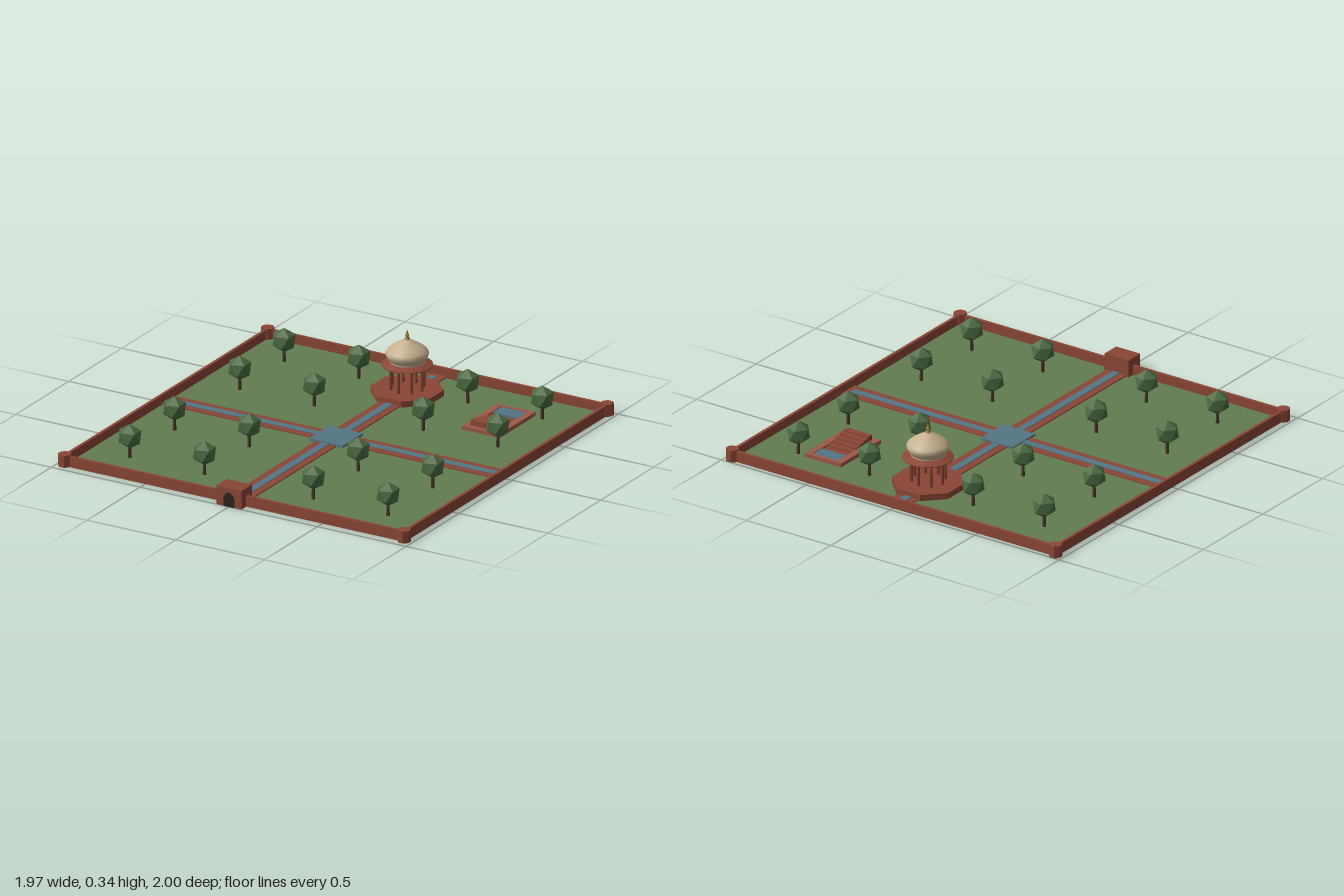
import * as THREE from 'three';

const mat = (color, extra = {}) => new THREE.MeshStandardMaterial({ color, ...extra });
const BRICK = mat(0x8a4636), STEP = mat(0x9a5848), WATER = mat(0x537684), STONE = mat(0xc4b08e),
  GRASS = mat(0x627c50, { side: THREE.DoubleSide }), LEAF = mat(0x4c6b42, { flatShading: true }),
  BARK = mat(0x4a3528), DARK = mat(0x2e2420), GOLD = mat(0x9a8040), BRICK_FLAT = mat(0x8a4636, { flatShading: true }),
  EAVE = mat(0x8a4636, { flatShading: true, side: THREE.DoubleSide });

const HALF = 0.957;    // wall line, half width
const CZ = -0.012;     // garden centre along z

function add(parent, name, geometry, material, x = 0, y = 0, z = 0) {
  const m = new THREE.Mesh(geometry, material);
  m.name = name;
  m.position.set(x, y, z);
  parent.add(m);
  return m;
}

// Box given by its bounds
function block(parent, name, material, x0, x1, y0, y1, z0, z1) {
  return add(parent, name, new THREE.BoxGeometry(x1 - x0, y1 - y0, z1 - z0), material,
    (x0 + x1) / 2, (y0 + y1) / 2, (z0 + z1) / 2);
}

const lathe = (pts, n) => new THREE.LatheGeometry(pts.map(p => new THREE.Vector2(...p)), n);

function createGround() {
  // gently rolling lawn
  const g = new THREE.PlaneGeometry(2 * HALF, 2 * HALF, 32, 32).rotateX(-Math.PI / 2);
  const p = g.attributes.position;
  for (let i = 0; i < p.count; i++)
    p.setY(i, 0.007 + 0.002 * Math.sin(4 * p.getX(i) + 1) * Math.cos(4 * p.getZ(i)));
  g.computeVertexNormals();
  const m = new THREE.Mesh(g, GRASS);
  m.name = 'lawn';
  m.position.z = CZ;
  return m;
}

function createWalls() {
  const g = new THREE.Group();
  g.name = 'walls';
  const t = 0.008, h = 0.055;
  for (const s of [-1, 1]) {
    block(g, 'sideWall', BRICK, s * HALF - t, s * HALF + t, 0, h, CZ - HALF, CZ + HALF);
    block(g, 'crossWall', BRICK, -HALF, HALF, 0, h, CZ + s * HALF - t, CZ + s * HALF + t);
    for (const k of [-1, 1])
      add(g, 'cornerTower', new THREE.CylinderGeometry(0.033, 0.033, 0.062, 8).rotateY(Math.PI / 8),
        BRICK_FLAT, s * HALF, 0.031, CZ + k * HALF);
  }
  return g;
}

function createPaths() {
  const g = new THREE.Group();
  g.name = 'paths';
  const w = 0.058, c = 0.02, L = HALF - 0.008;
  block(g, 'longPath', BRICK, -w, w, 0.0095, 0.015, CZ - L, CZ + L);
  block(g, 'crossPath', BRICK, -L, L, 0.0095, 0.0148, CZ - w, CZ + w);
  block(g, 'longChannel', WATER, -c, c, 0.01, 0.018, CZ - 0.92, CZ + 0.92);
  block(g, 'crossChannel', WATER, -0.92, 0.92, 0.01, 0.0178, CZ - c, CZ + c);
  block(g, 'centralPool', WATER, -0.095, 0.095, 0.01, 0.022, CZ - 0.095, CZ + 0.095);
  return g;
}

function createGate() {
  const g = new THREE.Group();
  g.name = 'gatehouse';
  block(g, 'gateBlock', BRICK, -0.071, 0.071, 0, 0.097, 0.9, 0.997);
  // pointed arch doorway
  const s = new THREE.Shape();
  s.moveTo(-0.03, 0);
  s.lineTo(0.03, 0);
  s.lineTo(0.03, 0.04);
  s.quadraticCurveTo(0.028, 0.062, 0, 0.075);
  s.quadraticCurveTo(-0.028, 0.062, -0.03, 0.04);
  add(g, 'archDoor', new THREE.ExtrudeGeometry(s, { depth: 0.004, bevelEnabled: false }), DARK, 0, 0, 0.996);
  return g;
}

function createPavilion() {
  const g = new THREE.Group();
  g.name = 'pavilion';
  g.position.z = -0.683;
  add(g, 'platform', new THREE.CylinderGeometry(0.18, 0.18, 0.032, 8).rotateY(Math.PI / 8), BRICK_FLAT, 0, 0.024);
  for (let i = 0; i < 8; i++) {
    const a = i * Math.PI / 4;
    add(g, 'column', new THREE.CylinderGeometry(0.008, 0.009, 0.13, 8), BRICK,
      0.083 * Math.cos(a), 0.103, 0.083 * Math.sin(a));
  }
  // sloping eave and drum
  add(g, 'eave', lathe([[0, 0.162], [0.126, 0.162], [0.126, 0.166], [0.09, 0.18], [0, 0.18]], 24), EAVE);
  add(g, 'drum', new THREE.CylinderGeometry(0.086, 0.086, 0.02, 32), STONE, 0, 0.18);
  const dome = [[0.08, 0.18], [0.096, 0.196], [0.104, 0.213], [0.106, 0.226], [0.1, 0.238],
    [0.084, 0.252], [0.062, 0.267], [0.038, 0.281], [0.018, 0.292], [0, 0.3]];
  add(g, 'dome', lathe(dome, 32), STONE);
  add(g, 'finial', lathe([[0.014, 0.29], [0.014, 0.3], [0.005, 0.304], [0.01, 0.312], [0.01, 0.318],
    [0.004, 0.323], [0.006, 0.328], [0, 0.345]], 12), GOLD);
  return g;
}

function createStepPool() {
  const g = new THREE.Group();
  g.name = 'stepPool';
  // rim around the basin
  const [x0, x1, z0, z1] = [0.465, 0.68, -0.755, -0.42], b = 0.035, top = 0.03;
  block(g, 'basinFloor', STEP, x0, x1, 0.0095, 0.016, z0, z1);
  block(g, 'rimLeft', STEP, x1 - b, x1, 0.016, top, z0, z1);
  block(g, 'rimRight', STEP, x0, x0 + b, 0.016, top, z0, z1);
  block(g, 'rimBack', STEP, x0 + b, x1 - b, 0.016, top, z0, z0 + 0.02);
  block(g, 'rimFront', STEP, x0 + b, x1 - b, 0.016, top, z1 - 0.025, z1);
  block(g, 'poolWater', WATER, x0 + b, x1 - b, 0.012, 0.026, z0 + 0.02, -0.655);
  // stairs rising from the water
  const n = 6, d = 0.2 / n;
  for (let i = 0; i < n; i++)
    block(g, 'stair', BRICK, x0 + b, x1 - b, 0.012, 0.02 + 0.0075 * i, -0.645 + i * d, -0.645 + (i + 1) * d);
  return g;
}

function createTrees() {
  const g = new THREE.Group();
  g.name = 'trees';
  // icosahedron turned so that one corner points up
  const crown = new THREE.IcosahedronGeometry(0.063, 0).rotateZ(Math.atan2(2, 1 + Math.sqrt(5)));
  const trunk = new THREE.CylinderGeometry(0.007, 0.009, 0.07, 6);
  for (const x of [-0.728, -0.307, 0.307, 0.728])
    for (const z of [-0.74, -0.321, 0.293, 0.715]) {
      add(g, 'trunk', trunk, BARK, x, 0.04, z);
      add(g, 'crown', crown, LEAF, x, 0.12, z);
    }
  return g;
}

export function createModel() {
  const model = new THREE.Group();
  model.name = 'walledGarden';
  model.add(createGround(), createWalls(), createPaths(), createGate(),
    createPavilion(), createStepPool(), createTrees());
  return model;
}
